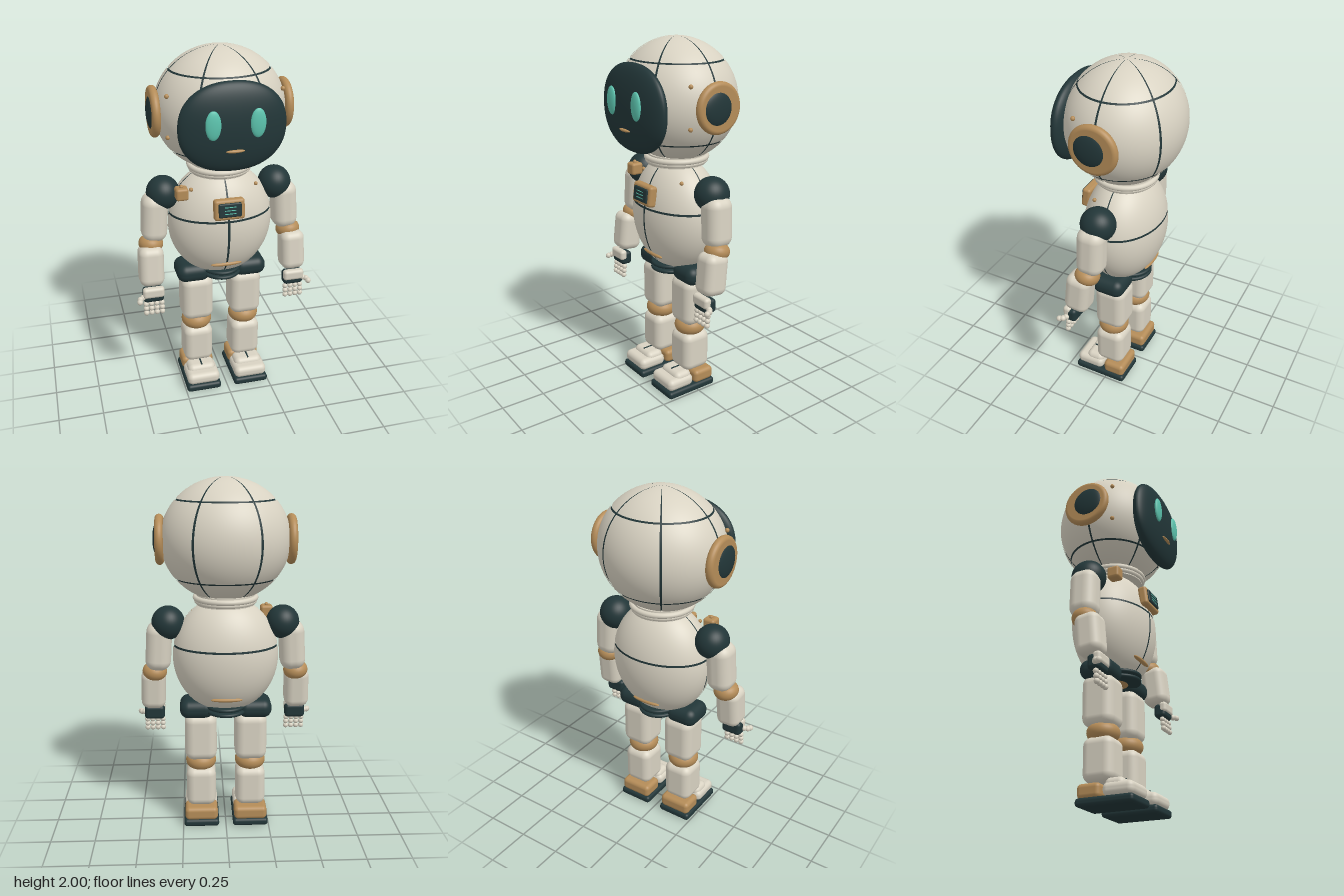
import * as THREE from 'three';
import { RoundedBoxGeometry } from 'three/addons/geometries/RoundedBoxGeometry.js';

const mat = (name, color) => Object.assign(new THREE.MeshStandardMaterial({ color }), { name });

export function createModel() {
  const shell = mat('ivory shell', 0xd8d2c2);
  const dark = mat('dark joints', 0x223638);
  const tan = mat('tan trim', 0xb48c58);
  const teal = mat('teal lights', 0x5cc4ae);
  const root = new THREE.Group();
  root.name = 'robot';

  const group = (name, parent = root) => {
    const g = new THREE.Group();
    g.name = name;
    parent.add(g);
    return g;
  };
  const add = (parent, name, geo, material, pos, rot = [0, 0, 0]) => {
    const m = new THREE.Mesh(geo, material);
    m.name = name;
    m.position.set(...pos);
    m.rotation.set(...rot);
    parent.add(m);
    return m;
  };
  const ball = (parent, name, material, pos, r, rot) =>
    add(parent, name, new THREE.SphereGeometry(1, 40, 28).scale(...r), material, pos, rot);
  const box = (parent, name, material, pos, size, radius, rot) =>
    add(parent, name, new RoundedBoxGeometry(...size, 5, radius), material, pos, rot);
  const bead = (parent, name, material, pos, r) =>
    add(parent, name, new THREE.SphereGeometry(r, 14, 10), material, pos);

  // Disc with a fully rounded rim, axis along y
  const puck = (r, h) => {
    const pts = [new THREE.Vector2(0, -h / 2)];
    for (let i = 0; i <= 12; i++) {
      const a = -Math.PI / 2 + (i / 12) * Math.PI;
      pts.push(new THREE.Vector2(r - h * 0.5 + Math.cos(a) * h * 0.5, Math.sin(a) * h / 2));
    }
    pts.push(new THREE.Vector2(0, h / 2));
    return new THREE.LatheGeometry(pts, 40);
  };

  // Ellipsoid of separate panels over a dark core, leaving narrow seams
  const panelled = (parent, name, centre, r, phis, thetas, gap) => {
    ball(parent, name + 'Core', dark, centre, r.map((v) => v * 0.984));
    for (let i = 0; i + 1 < phis.length; i++) {
      for (let j = 0; j + 1 < thetas.length; j++) {
        const p0 = phis[i] + gap, p1 = phis[i + 1] - gap;
        const t0 = thetas[j] + (j ? gap * 0.8 : 0);
        const t1 = thetas[j + 1] - (j + 2 < thetas.length ? gap * 0.8 : 0);
        const geo = new THREE.SphereGeometry(1, Math.ceil((p1 - p0) * 12), 20, p0, p1 - p0, t0, t1 - t0);
        add(parent, name + 'Panel', geo.scale(...r), shell, centre);
      }
    }
  };

  // Head
  const head = group('head');
  const sixths = [0, 1, 2, 3, 4, 5, 6].map((k) => (k * Math.PI) / 3);
  panelled(head, 'skull', [0, 1.67, -0.02], [0.35, 0.33, 0.315], sixths, [0, 0.861, 2.222, Math.PI], 0.019);

  // Face: squarish lens with eyes and mouth
  const lens = new THREE.SphereGeometry(1, 56, 36);
  const p = lens.attributes.position;
  for (let i = 0; i < p.count; i++) {
    const x = p.getX(i), y = p.getY(i), r = Math.hypot(x, y);
    if (r < 1e-6) continue;
    const k = r / Math.pow(Math.abs(x) ** 2.25 + Math.abs(y) ** 2.25, 1 / 2.25);
    p.setXY(i, x * k, y * k);
  }
  lens.scale(0.28, 0.233, 0.07);
  lens.computeVertexNormals();
  add(head, 'faceVisor', lens, dark, [0, 1.648, 0.25]);
  for (const s of [-1, 1]) {
    ball(head, 'eye', teal, [s * 0.114, 1.68, 0.315], [0.04, 0.075, 0.016]);
    add(head, 'earRing', puck(0.135, 0.045), tan, [s * 0.353, 1.672, -0.02], [0, 0, Math.PI / 2]);
    ball(head, 'earDisc', dark, [s * 0.365, 1.672, -0.005], [0.026, 0.09, 0.09]);
    for (const y of [1.785, 1.57]) bead(head, 'headRivet', tan, [s * 0.303, y, 0.115], 0.012);
  }
  ball(head, 'mouth', tan, [0, 1.54, 0.31], [0.05, 0.009, 0.014]);

  // Neck collar
  const neck = group('neck');
  add(neck, 'neckCore', new THREE.CylinderGeometry(0.16, 0.16, 0.06, 40), shell, [0, 1.35, -0.02]);
  for (const [y, r] of [[1.34, 0.158], [1.358, 0.165]])
    add(neck, 'collarRing', new THREE.TorusGeometry(r, 0.015, 12, 48), shell, [0, y, -0.02], [Math.PI / 2, 0, 0]);

  // Torso: two front quarters and one back half, split by a belt seam
  const torso = group('torso');
  panelled(torso, 'torso', [0, 1.03, -0.02], [0.295, 0.33, 0.22],
    [0, Math.PI / 2, Math.PI, Math.PI * 2], [0, 1.372, Math.PI], 0.022);
  for (const s of [-1, 1]) {
    bead(torso, 'chestRivet', tan, [s * 0.18, 1.255, 0.078], 0.011);
    ball(torso, 'waistVent', tan, [0, 0.815, -0.02 + s * 0.163], [0.088, 0.012, 0.016]);
  }

  // Chest display
  const panel = group('chestPanel', torso);
  panel.position.set(0, 1.173, 0.192);
  panel.rotation.x = -0.12;
  box(panel, 'panelFrame', tan, [0, 0, 0], [0.168, 0.115, 0.05], 0.016);
  box(panel, 'panelScreen', dark, [0, 0, 0.024], [0.126, 0.078, 0.02], 0.008);
  for (const y of [-0.018, 0, 0.018])
    add(panel, 'screenLine', new THREE.BoxGeometry(0.062, 0.004, 0.004), teal, [0, y, 0.034]);

  // Shoulder badge on the right side
  box(torso, 'shoulderBlock', tan, [-0.237, 1.25, 0.1], [0.068, 0.068, 0.07], 0.014);
  bead(torso, 'shoulderRivet', tan, [-0.237, 1.287, 0.1], 0.011);

  // Pelvis
  const pelvis = group('pelvis');
  for (const y of [0.742, 0.713])
    add(pelvis, 'waistRing', puck(0.14, 0.022).scale(0.9, 1, 1.1), dark, [0, y, -0.02]);
  ball(pelvis, 'pelvisBase', tan, [0, 0.712, -0.02], [0.085, 0.022, 0.085]);

  for (const s of [-1, 1]) {
    const side = s > 0 ? 'left' : 'right';

    // Arm
    const arm = group(side + 'Arm');
    ball(arm, 'shoulderBall', dark, [s * 0.317, 1.215, -0.018], [0.092, 0.094, 0.096]);
    box(arm, 'upperArm', shell, [s * 0.372, 1.08, -0.008], [0.142, 0.275, 0.152], 0.058, [-0.02, 0, s * 0.06]);
    add(arm, 'elbow', puck(0.069, 0.085), tan, [s * 0.399, 0.927, 0.008], [-0.15, 0, s * 0.12]);
    box(arm, 'forearm', shell, [s * 0.41, 0.815, 0.05], [0.138, 0.232, 0.14], 0.045, [-0.1, 0, s * 0.025]);

    // Hand
    const hand = group(side + 'Hand', arm);
    box(hand, 'palm', dark, [s * 0.41, 0.652, 0.092], [0.116, 0.08, 0.07], 0.02);
    box(hand, 'handPlate', shell, [s * 0.41, 0.672, 0.112], [0.12, 0.062, 0.045], 0.018);
    for (let f = 0; f < 4; f++)
      for (let k = 0; k < 3; k++)
        bead(hand, 'fingerJoint', shell, [s * (0.365 + f * 0.03), 0.598 - k * 0.027, 0.106 + k * 0.003], 0.0155);
    for (const [x, y, z] of [[0.47, 0.644, 0.11], [0.487, 0.641, 0.122], [0.493, 0.636, 0.142]])
      bead(hand, 'thumbJoint', shell, [s * x, y, z], 0.0165);

    // Leg
    const leg = group(side + 'Leg');
    leg.position.x = s * 0.143;
    box(leg, 'hip', dark, [s * 0.022, 0.722, -0.018], [0.19, 0.108, 0.19], 0.05);
    box(leg, 'thigh', shell, [0, 0.552, -0.018], [0.182, 0.28, 0.18], 0.05);
    add(leg, 'knee', puck(0.088, 0.09), tan, [0, 0.388, -0.012]);
    box(leg, 'shin', shell, [0, 0.24, -0.013], [0.17, 0.235, 0.174], 0.045);

    // Foot
    const foot = group(side + 'Foot', leg);
    box(foot, 'sole', dark, [0, 0.023, 0.04], [0.205, 0.044, 0.32], 0.018);
    box(foot, 'toeCap', shell, [0, 0.077, 0.11], [0.192, 0.07, 0.17], 0.03);
    box(foot, 'instep', shell, [0, 0.1, 0.085], [0.165, 0.074, 0.11], 0.032);
    box(foot, 'heel', tan, [0, 0.078, -0.05], [0.19, 0.078, 0.13], 0.024);
    add(foot, 'instepSeam', new THREE.BoxGeometry(0.009, 0.006, 0.07), dark, [0, 0.136, 0.085]);
  }
  return root;
}
